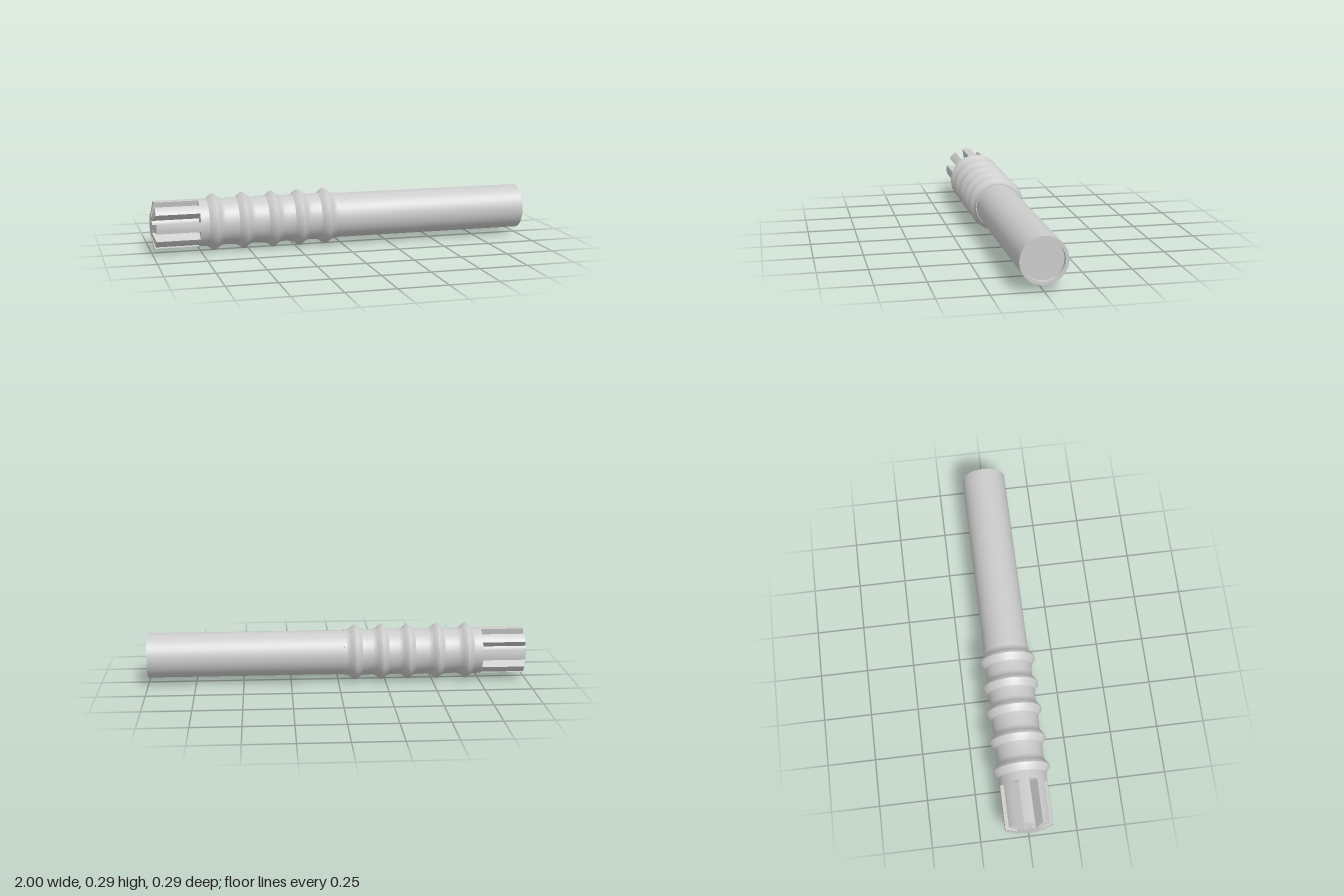
import * as THREE from 'three';
import { toCreasedNormals } from 'three/addons/utils/BufferGeometryUtils.js';

const AXIS_Y = 0.147;
const FINS = 8;
const SHOULDER_X = -0.76;

// Turns a profile of [x, radius] points, listed from -x to +x, around the x axis.
function turned(name, profile, material) {
  const points = profile.map(([x, r]) => new THREE.Vector2(r, x));
  const geometry = toCreasedNormals(new THREE.LatheGeometry(points, 64).rotateZ(-Math.PI / 2), 0.6);
  const mesh = new THREE.Mesh(geometry, material);
  mesh.name = name;
  return mesh;
}

// A wedge-shaped fin: its side outline is extruded, then the depth is bent into an angle.
function finGeometry(spread) {
  const outline = [[SHOULDER_X, 0.045], [SHOULDER_X, 0.123], [-0.985, 0.123], [-1, 0.057], [-1, 0.045]];
  const shape = new THREE.Shape(outline.map(([x, r]) => new THREE.Vector2(x, r)));
  const geometry = new THREE.ExtrudeGeometry(shape, { depth: 1, steps: 4, bevelEnabled: false });
  const p = geometry.attributes.position;
  for (let i = 0; i < p.count; i++) {
    const r = p.getY(i);
    const a = (p.getZ(i) - 0.5) * spread;
    p.setXYZ(i, p.getX(i), r * Math.cos(a), r * Math.sin(a));
  }
  return toCreasedNormals(geometry, 0.4);
}

export function createModel() {
  const model = new THREE.Group();
  model.name = 'handle';
  const material = new THREE.MeshStandardMaterial({ color: 0xcccccc });

  // Plain tube with a shallow recess in its open end
  model.add(turned('tube', [
    [-0.04, 0.117], [1, 0.117], [1, 0.1], [0.975, 0.1], [0.975, 0],
  ], material));

  // Grip with five raised rings
  const grip = [[SHOULDER_X, 0], [SHOULDER_X, 0.123], [-0.725, 0.123]];
  for (const x of [-0.68, -0.525, -0.37, -0.23, -0.09]) {
    grip.push([x - 0.035, 0.123], [x - 0.022, 0.133], [x - 0.008, 0.144], [x, 0.1465],
      [x + 0.008, 0.144], [x + 0.022, 0.133], [x + 0.035, 0.123], [x + 0.05, 0.12]);
  }
  grip.push([-0.03, 0.121], [-0.03, 0.11]);
  model.add(turned('grip', grip, material));

  // Finned end: a slim core carrying radial wedges
  model.add(turned('finCore', [[-1, 0], [-1, 0.057], [SHOULDER_X, 0.057]], material));
  const fins = new THREE.Group();
  fins.name = 'fins';
  const fin = finGeometry(0.41);
  for (let i = 0; i < FINS; i++) {
    const mesh = new THREE.Mesh(fin, material);
    mesh.name = 'fin';
    mesh.rotation.x = (i / FINS) * Math.PI * 2;
    fins.add(mesh);
  }
  model.add(fins);

  for (const part of model.children) part.position.y = AXIS_Y;
  return model;
}
